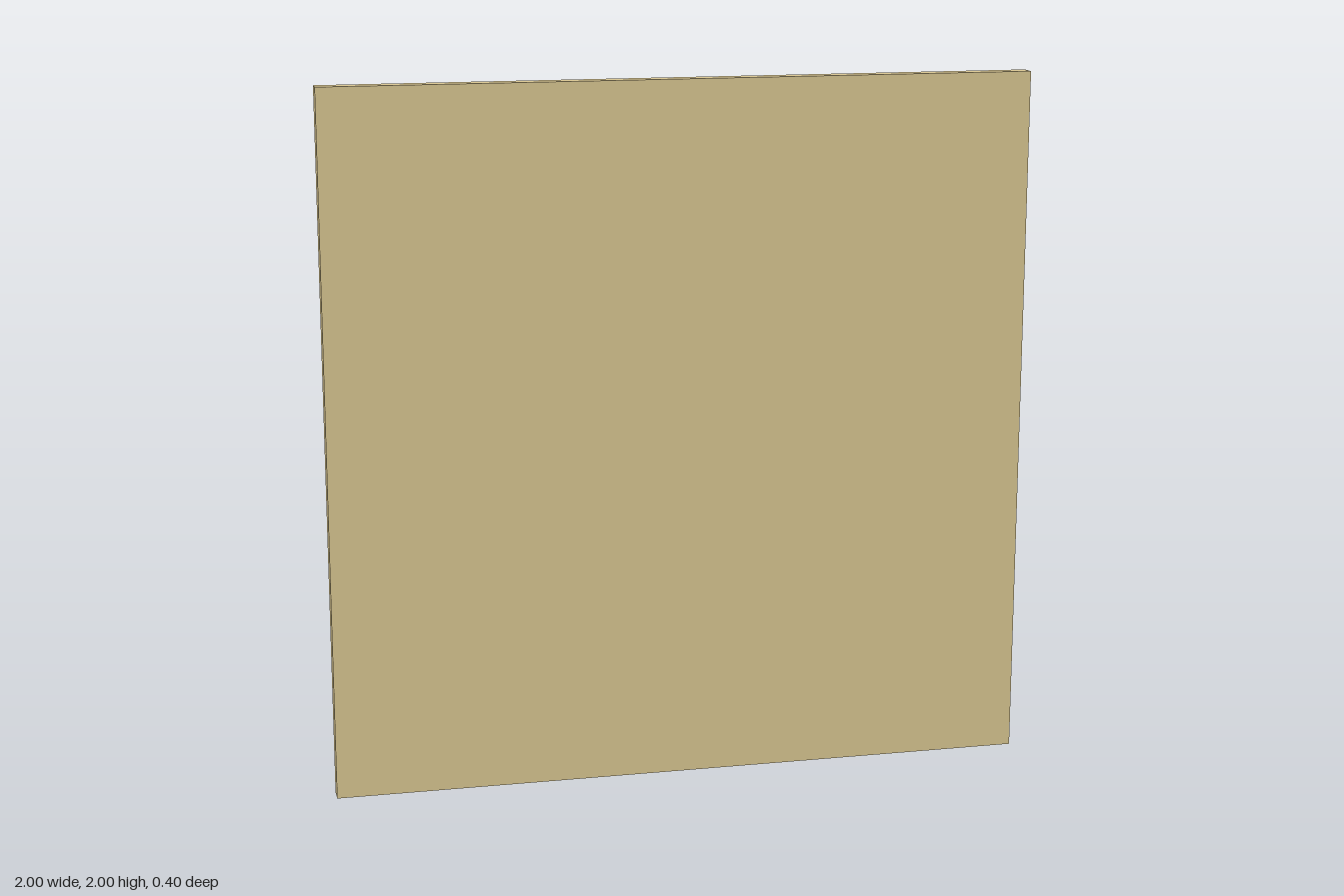
import * as THREE from 'three';

const tan = new THREE.MeshStandardMaterial({ color: 0xdbc893, flatShading: true });
const green = new THREE.MeshStandardMaterial({ color: 0x98d2b8, flatShading: true });

function add(parent, name, geometry, material, x, y, z) {
  const mesh = new THREE.Mesh(geometry, material);
  mesh.name = name;
  mesh.position.set(x, y, z);
  parent.add(mesh);
  return mesh;
}

const box = (w, h, d) => new THREE.BoxGeometry(w, h, d);

export function createModel() {
  const model = new THREE.Group();
  model.name = 'boardWithBlocks';

  // Large upright board
  add(model, 'board', box(2, 2, 0.05), tan, 0, 1, 0.175);

  // Long low panel with its thin centre strip
  add(model, 'panel', box(1.33, 0.35, 0.018), green, -0.01, 0.425, 0.131);
  add(model, 'panelStrip', box(0.03, 0.34, 0.01), tan, 0, 0.425, 0.115);

  // Eight-sided tapered cone
  add(model, 'taperedCone', new THREE.CylinderGeometry(0.07, 0.199, 0.31, 8), green, -0.535, 0.605, 0);

  // Cube with a raised plate
  const plated = new THREE.Group();
  plated.name = 'platedCube';
  add(plated, 'cube', box(0.265, 0.265, 0.265), green, 0.488, 1, 0.0375);
  add(plated, 'plate', box(0.185, 0.185, 0.055), green, 0.488, 1.002, -0.1225);
  model.add(plated);

  // Slightly turned cube with a dome on its back
  const centre = new THREE.Group();
  centre.name = 'centreCube';
  add(centre, 'cube', box(0.241, 0.241, 0.241), tan, 0, 1, -0.03).rotation.y = 0.067;
  add(centre, 'dome', new THREE.IcosahedronGeometry(0.066, 2), green, 0, 1, -0.125);

  // Side blocks with small end knobs
  for (const side of [-1, 1]) {
    add(centre, 'sideBlock', box(0.1, 0.14, 0.065), green, side * 0.155, 1, -0.028);
    const knob = new THREE.CylinderGeometry(0.017, 0.017, 0.045, 8).rotateZ(Math.PI / 2);
    add(centre, 'knob', knob, tan, side * 0.2175, 1, -0.025);
  }
  model.add(centre);

  return model;
}
